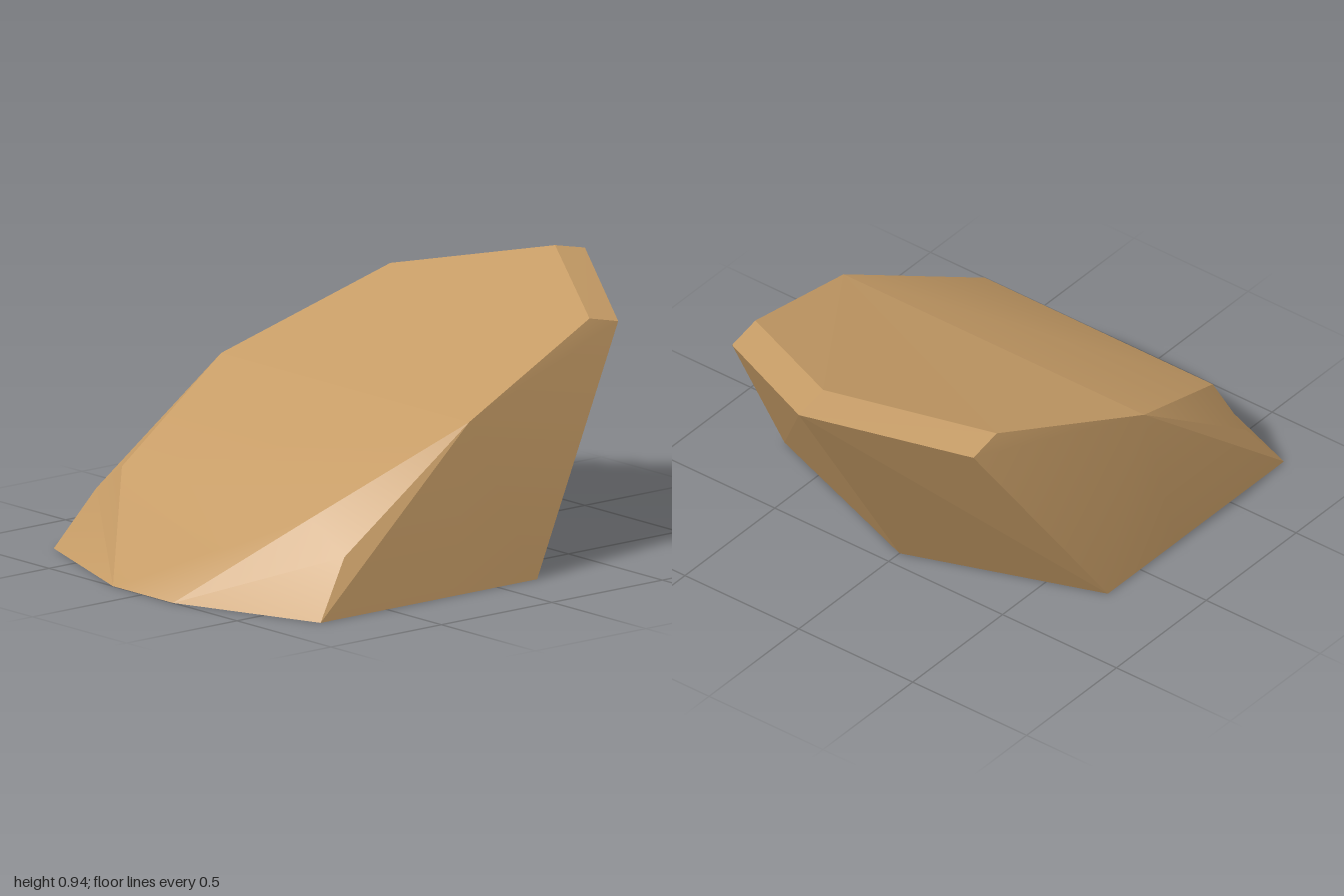
import * as THREE from 'three';
import { toCreasedNormals } from 'three/addons/utils/BufferGeometryUtils.js';

// Corner points of the +x half; the other half is mirrored
const P = {
  baseLip: [0.16, 0, 1], baseFront: [0.71, 0, 0.8], baseMid: [0.71, 0, 0.2],
  baseRear: [0.71, 0, -0.18], baseTail: [0, 0, -0.44],
  cheekLow: [0.66, 0.2, 0.65], brow: [0.5, 0.31, 0.67], shoulder: [0.66, 0.59, 0.085],
  rim: [0.53, 0.83, -0.57], crest: [0, 0.945, -0.865],
  edge: [0.53, 0.8, -0.7], tip: [0, 0.915, -1],
};
const inside = new THREE.Vector3(0, 0.3, 0);

// A leading '-' picks the mirrored corner
function corner(name) {
  const m = name[0] === '-';
  const [x, y, z] = P[m ? name.slice(1) : name];
  return new THREE.Vector3(m ? -x : x, y, z);
}

// Fan-triangulates polygons, turning every triangle outward
function shell(polygons, crease) {
  const pos = [];
  for (const poly of polygons) {
    const v = poly.map(corner);
    for (let i = 1; i < v.length - 1; i++) {
      const t = new THREE.Triangle(v[0], v[i], v[i + 1]);
      const n = t.getNormal(new THREE.Vector3());
      const out = n.dot(v[0].clone().sub(inside)) > 0;
      for (const p of out ? [t.a, t.b, t.c] : [t.a, t.c, t.b]) pos.push(p.x, p.y, p.z);
    }
  }
  const g = new THREE.BufferGeometry();
  g.setAttribute('position', new THREE.Float32BufferAttribute(pos, 3));
  g.computeVertexNormals();
  return crease ? toCreasedNormals(g, crease) : g;
}

const flip = (poly) => poly.map((n) => '-' + n);
const both = (polys) => [...polys, ...polys.map(flip)];

export function createModel() {
  const group = new THREE.Group();
  const sandstone = new THREE.MeshStandardMaterial({ color: 0xc69c66, side: THREE.DoubleSide });
  sandstone.name = 'sandstone';
  const add = (name, polys, crease) => {
    const mesh = new THREE.Mesh(shell(polys, crease), sandstone);
    mesh.name = name;
    group.add(mesh);
  };

  // Flat sloping top
  add('topFace', [['shoulder', 'rim', 'crest', '-rim', '-shoulder']]);

  // Softly rounded front slope with its corner facets
  add('frontSlope', [
    ['shoulder', '-shoulder', '-brow', 'brow'],
    ['brow', '-brow', '-baseLip', 'baseLip'],
    ...both([
      ['shoulder', 'cheekLow', 'brow'],
      ['brow', 'cheekLow', 'baseLip'],
      ['cheekLow', 'baseFront', 'baseLip'],
    ]),
  ], 0.5);

  // Side walls
  add('sideWalls', both([
    ['shoulder', 'cheekLow', 'baseFront', 'baseMid'],
    ['shoulder', 'baseMid', 'baseRear', 'edge', 'rim'],
  ]), 0.4);

  // Overhanging back walls; the underside stays open
  add('backWalls', both([['baseRear', 'baseTail', 'tip', 'edge']]));

  // Narrow bevel along the rear crest
  add('crestBevel', both([['rim', 'edge', 'tip', 'crest']]));

  return group;
}
